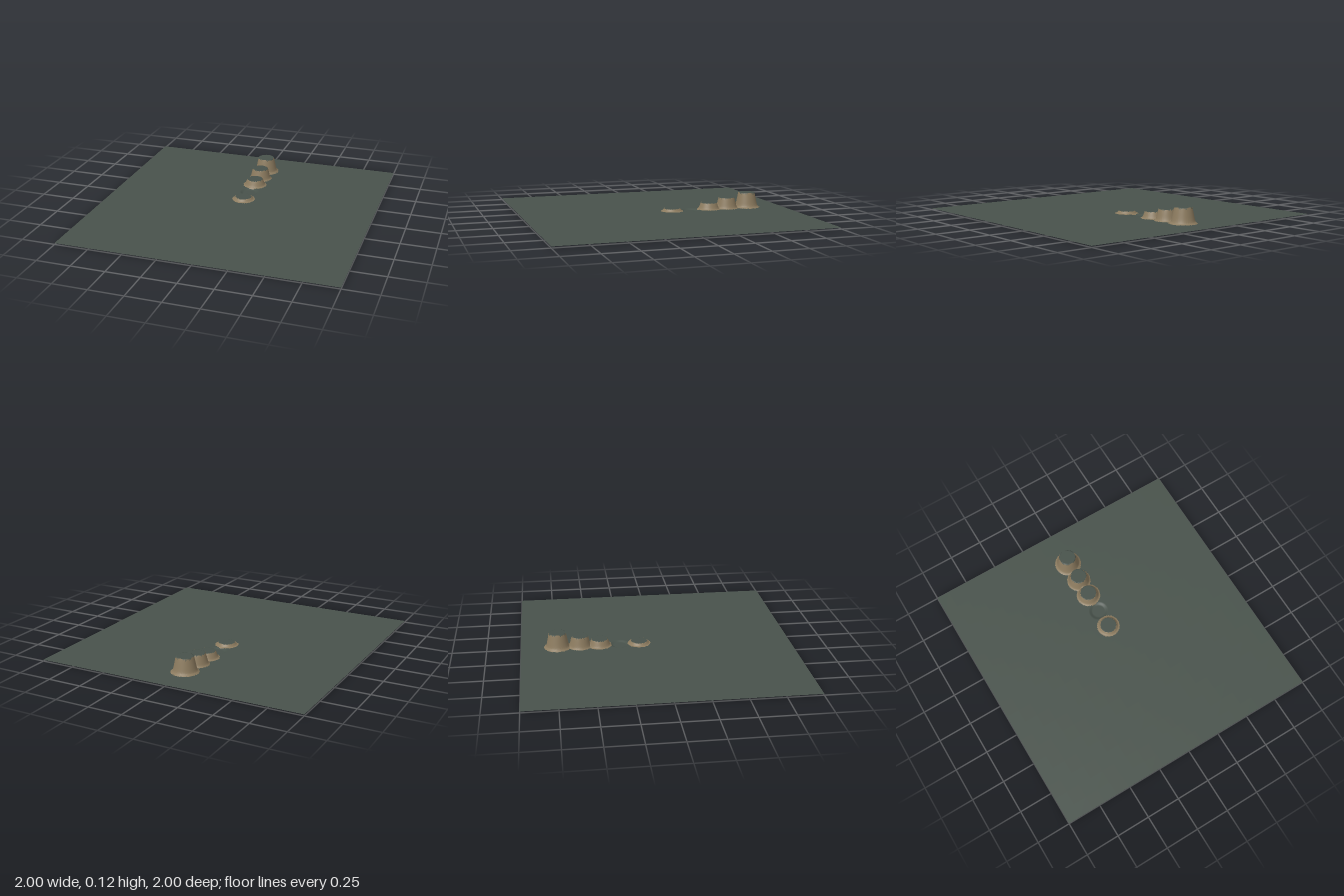
import * as THREE from 'three';

const GROUND_Y = 0.01;
// flat-topped mounds along the centre line: z, height, top, shoulder and foot radius
const MOUNDS = [
  { z: -0.125, top: 0.03, r: [0.06, 0.073, 0.085] },
  { z: -0.42, top: 0.06, r: [0.06, 0.077, 0.09] },
  { z: -0.565, top: 0.093, r: [0.06, 0.078, 0.09] },
  { z: -0.73, top: 0.125, r: [0.062, 0.083, 0.1] },
];
const DIP = { z: -0.27, r: [0.05, 0.07] };

const ramp = (r, r0, r1, y0, y1) =>
  THREE.MathUtils.lerp(y0, y1, THREE.MathUtils.clamp((r - r0) / (r1 - r0), 0, 1));

// steep wall down to a shoulder, then a flared foot
function moundHeight(m, x, z) {
  const d = Math.hypot(x, z - m.z);
  const shoulder = GROUND_Y + (m.top - GROUND_Y) * 0.13;
  return d < m.r[1]
    ? ramp(d, m.r[0], m.r[1], m.top, shoulder)
    : ramp(d, m.r[1], m.r[2], shoulder, GROUND_Y);
}

function heightAt(x, z) {
  const base = ramp(Math.hypot(x, z - DIP.z), DIP.r[0], DIP.r[1], 0, GROUND_Y);
  const tops = MOUNDS.map((m) => moundHeight(m, x, z)).filter((y) => y > GROUND_Y + 1e-6);
  return tops.length ? Math.max(...tops) : base;
}

// a triangle is bare earth when it lies on the slope of a mound and not on any top
function isSlope(x, z) {
  const dist = MOUNDS.map((m) => Math.hypot(x, z - m.z));
  return dist.some((d, i) => d < MOUNDS[i].r[2]) && dist.every((d, i) => d > MOUNDS[i].r[0]);
}

// grid lines from -1 to 1, fine between a and b
function gridLines(a, b) {
  const lines = [];
  const add = (from, to, step) => {
    const n = Math.max(1, Math.round((to - from) / step));
    for (let i = 0; i < n; i++) lines.push(from + ((to - from) * i) / n);
  };
  add(-1, a, 0.1);
  add(a, b, 0.005);
  add(b, 1, 0.1);
  lines.push(1);
  return lines;
}

export function createModel() {
  const group = new THREE.Group();
  const grass = new THREE.MeshStandardMaterial({ color: 0x48524b, side: THREE.DoubleSide });
  grass.name = 'dark grey green';
  const earth = new THREE.MeshStandardMaterial({ color: 0x8c7b5f, side: THREE.DoubleSide });
  earth.name = 'tan earth';

  // one height sheet, its faces shared out between ground and slopes
  const xs = gridLines(-0.12, 0.12);
  const zs = gridLines(-0.86, 0);
  const points = [];
  for (const z of zs) for (const x of xs) points.push(x, heightAt(x, z), z);

  const groundFaces = [];
  const slopeFaces = [];
  for (let j = 0; j < zs.length - 1; j++) {
    for (let i = 0; i < xs.length - 1; i++) {
      const a = j * xs.length + i;
      const c = a + xs.length;
      const slope = isSlope((xs[i] + xs[i + 1]) / 2, (zs[j] + zs[j + 1]) / 2);
      (slope ? slopeFaces : groundFaces).push(a, c, a + 1, a + 1, c, c + 1);
    }
  }

  const addPart = (name, faces, material) => {
    const geometry = new THREE.BufferGeometry();
    geometry.setAttribute('position', new THREE.Float32BufferAttribute(points, 3));
    geometry.setIndex(faces);
    geometry.computeVertexNormals();
    const mesh = new THREE.Mesh(geometry.toNonIndexed(), material);
    mesh.name = name;
    group.add(mesh);
  };
  addPart('groundAndMoundTops', groundFaces, grass);
  addPart('moundSlopes', slopeFaces, earth);

  group.name = 'terrain';
  return group;
}
